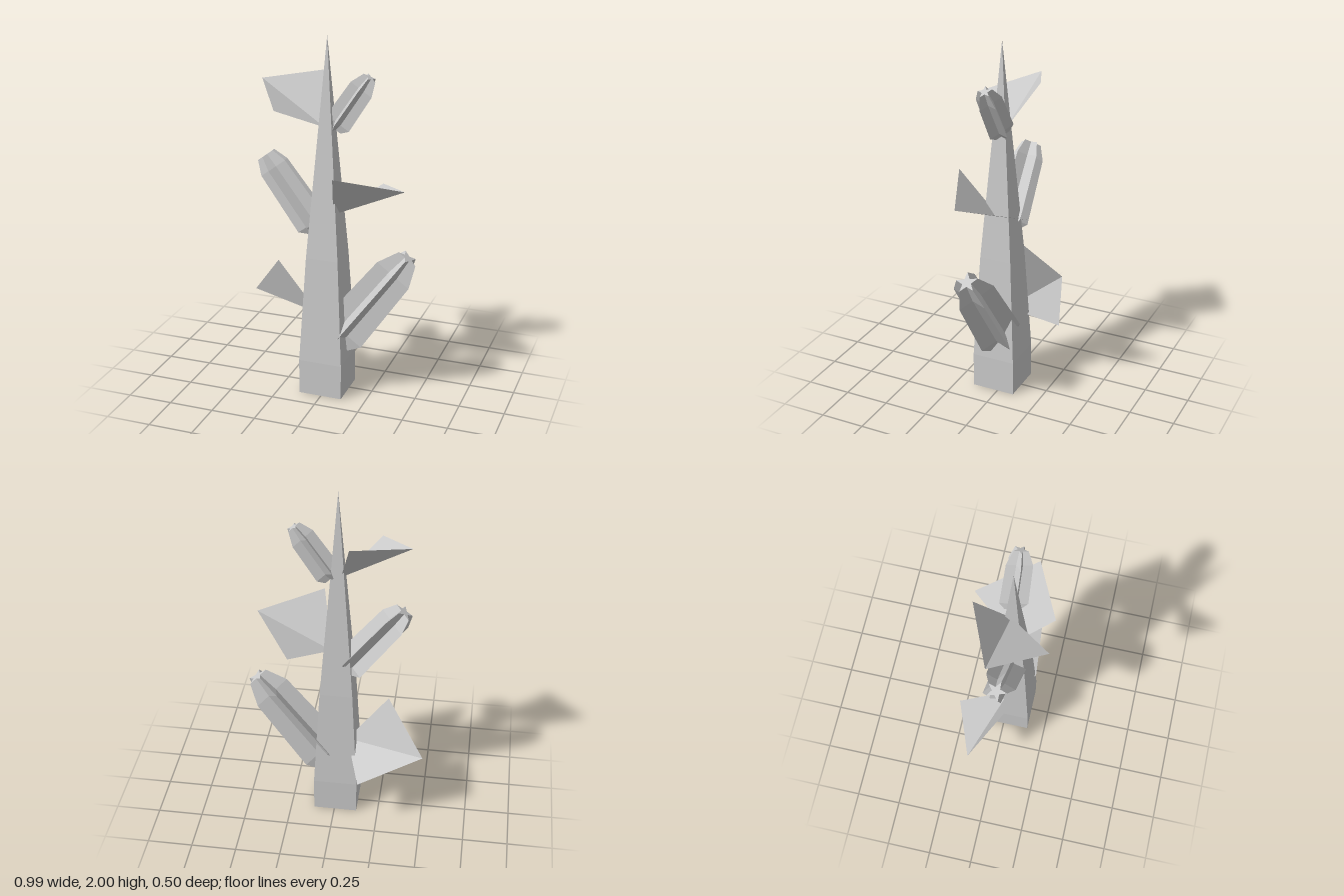
import * as THREE from 'three';

const material = new THREE.MeshStandardMaterial({ color: 0xcccccc, flatShading: true });
const leafMaterial = new THREE.MeshStandardMaterial({
  color: 0xcccccc, flatShading: true, side: THREE.DoubleSide,
});

// Square tapering trunk ending in a spike
function makeTrunk() {
  const profile = [[0, 0], [0.122, 0], [0.122, 0.2], [0.09, 0.8], [0, 2]]
    .map(([half, y]) => new THREE.Vector2(half * Math.SQRT2, y));
  const trunk = new THREE.Mesh(new THREE.LatheGeometry(profile, 4, Math.PI / 4), material);
  trunk.name = 'trunk';
  trunk.position.set(-0.005, 0, 0.026);
  return trunk;
}

// Ribbed arm with a five-pointed star section; rings are [distance below tip, ridge radius]
function makeArm(name, tip, direction, rings) {
  const geometry = new THREE.CylinderGeometry(1, 1, 1, 10, rings.length - 1);
  const p = geometry.attributes.position;
  for (let i = 0; i < p.count; i++) {
    const x = p.getX(i), z = p.getZ(i);
    const row = Math.round((0.5 - p.getY(i)) * (rings.length - 1));
    const corner = Math.round(Math.atan2(x, z) / (Math.PI / 5));
    const [drop, radius] = rings[row];
    const r = radius * (corner % 2 === 0 ? 1 : 0.4);
    p.setXYZ(i, x * r, -drop, z * r);
  }
  geometry.computeVertexNormals();
  const arm = new THREE.Mesh(geometry, material);
  arm.name = name;
  arm.position.set(...tip);
  arm.rotation.z = -Math.atan2(direction[0], direction[1]);
  return arm;
}

// Thin leaf: two triangles folded along the line from root to tip
function makeLeaf(name, root, sideA, tip, sideB) {
  const geometry = new THREE.BufferGeometry();
  const corners = [root, sideA, tip, root, tip, sideB].flat();
  geometry.setAttribute('position', new THREE.Float32BufferAttribute(corners, 3));
  geometry.computeVertexNormals();
  const leaf = new THREE.Mesh(geometry, leafMaterial);
  leaf.name = name;
  return leaf;
}

export function createModel() {
  const model = new THREE.Group();
  model.name = 'spikyPlant';
  model.add(
    makeTrunk(),
    // Arms, lowest first
    makeArm('lowerArm', [0.444, 0.836, 0.012], [0.59, 0.8],
      [[0, 0.061], [0.12, 0.115], [0.587, 0.135], [0.672, 0.088]]),
    makeArm('middleArm', [-0.354, 1.328, 0.018], [-0.6, 0.8],
      [[0, 0.056], [0.08, 0.09], [0.444, 0.1], [0.49, 0.05]]),
    makeArm('upperArm', [0.222, 1.794, 0.012], [0.55, 0.83],
      [[0, 0.039], [0.074, 0.071], [0.3, 0.077], [0.342, 0.043]]),
    // Leaves, lowest first
    makeLeaf('lowerLeaf', [-0.06, 0.44, 0.02], [-0.15, 0.345, -0.255],
      [-0.495, 0.465, -0.125], [-0.285, 0.735, 0.04]),
    makeLeaf('middleLeaf', [0.03, 1.035, 0.03], [0.095, 1.3, 0.23],
      [0.438, 1.225, 0.078], [0.225, 1.148, -0.235]),
    makeLeaf('upperLeaf', [-0.02, 1.51, 0.02], [-0.083, 1.775, -0.155],
      [-0.388, 1.735, -0.024], [-0.212, 1.64, 0.25]),
  );
  return model;
}
